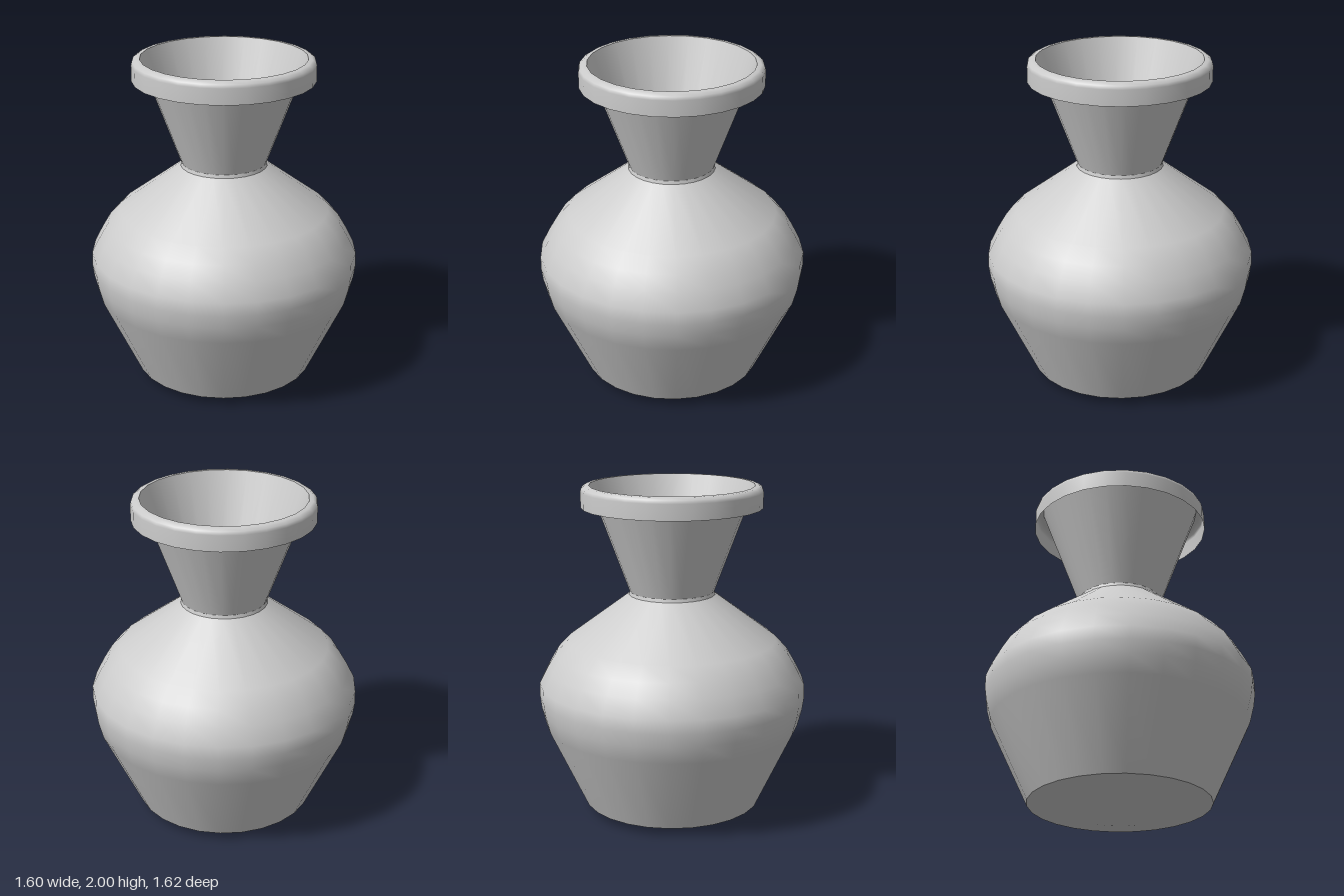
import * as THREE from 'three';

const SIDES = 26;

export function createModel() {
  const group = new THREE.Group();
  group.name = 'vase';
  const material = new THREE.MeshStandardMaterial({ color: 0xcccccc, side: THREE.DoubleSide });

  // Each part is a thin turned shell; separate parts keep the edges between them sharp.
  const turn = (name, profile) => {
    const points = profile.map(([r, y]) => new THREE.Vector2(r, y));
    const mesh = new THREE.Mesh(new THREE.LatheGeometry(points, SIDES), material);
    mesh.name = name;
    group.add(mesh);
  };

  // Shallow dished underside, also the floor seen through the mouth
  turn('base', [[0, 0], [0.27, 0.005], [0.54, 0.05]]);

  // Tapered belly, rounded at the widest point, with a straight shoulder
  turn('body', [
    [0.54, 0.05], [0.77, 0.54], [0.797, 0.645], [0.808, 0.725], [0.806, 0.805],
    [0.755, 0.905], [0.705, 0.99], [0.63, 1.07], [0.26, 1.345],
  ]);

  // Narrow band between shoulder and neck
  turn('collar', [[0.26, 1.345], [0.255, 1.365]]);

  // Flared funnel neck, running up inside the rim
  turn('neck', [[0.255, 1.365], [0.49, 2]]);

  // Overhanging lip, open underneath, with a rounded top edge
  turn('rim', [[0.54, 1.87], [0.54, 1.965], [0.535, 1.985], [0.515, 1.998], [0.49, 2]]);

  return group;
}
